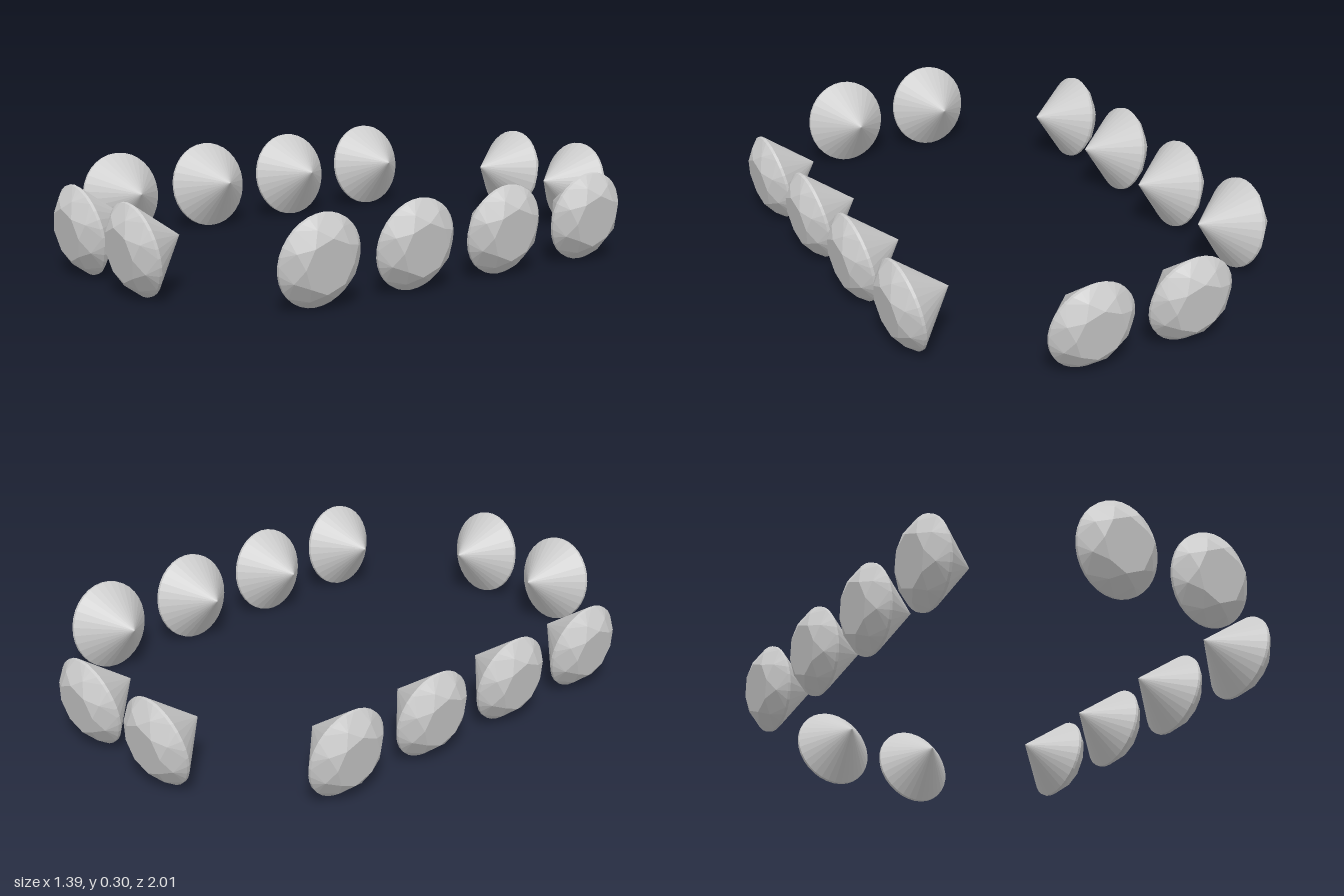
import * as THREE from 'three';

const SIDES = 8, GIRDLE = 32;
const R = 0.149, TABLE_R = 0.088, TABLE_H = 0.059, RIM = 0.005, CULET = 0.159;
const TILT = THREE.MathUtils.degToRad(10);

// Brilliant-cut stone, table facing +z, girdle centred on the origin
function gemGeometry() {
  const pos = [];
  const pt = (r, turn, z) => [r * Math.sin(-turn * 2 * Math.PI), r * Math.cos(turn * 2 * Math.PI), z];
  const tri = (...corners) => corners.forEach((c) => pos.push(...c));
  const quad = (a, b, c, d) => { tri(a, b, c); tri(a, c, d); };

  // star points lie in the planes of the bezel facets
  const u = 0.112;
  const starH = TABLE_H - (u - TABLE_R) / (R - TABLE_R) * (TABLE_H - RIM);
  const table = (i) => pt(TABLE_R, i / SIDES, TABLE_H);
  const star = (i) => pt(u / Math.cos(Math.PI / SIDES), (i + 0.5) / SIDES, starH);
  const upper = (k) => pt(R, k / GIRDLE, RIM);
  const lower = (k) => pt(R, k / GIRDLE, -RIM);
  const step = GIRDLE / SIDES;

  // crown: table, star, bezel and upper girdle facets
  for (let i = 0; i < SIDES; i++) {
    tri([0, 0, TABLE_H], table(i), table(i + 1));
    tri(table(i), star(i), table(i + 1));
    quad(table(i), star(i - 1), upper(i * step), star(i));
    for (let k = i * step; k < (i + 1) * step; k++) tri(star(i), upper(k), upper(k + 1));
  }
  // girdle band and pavilion cone
  for (let k = 0; k < GIRDLE; k++) {
    quad(lower(k), lower(k + 1), upper(k + 1), upper(k));
    tri([0, 0, -CULET], lower(k + 1), lower(k));
  }
  const geo = new THREE.BufferGeometry();
  geo.setAttribute('position', new THREE.Float32BufferAttribute(pos, 3));
  geo.scale(1, 1.03, 1);
  geo.computeVertexNormals();
  return geo;
}

export function createModel() {
  const model = new THREE.Group();
  model.name = 'gemRing';
  const geo = gemGeometry();
  const mat = new THREE.MeshStandardMaterial({ color: 0xcccccc, flatShading: true });

  // each stone faces outward and leans slightly down
  const addGem = (name, x, z, yaw) => {
    const gem = new THREE.Mesh(geo, mat);
    gem.name = name;
    gem.position.set(x, 0.153, z);
    gem.rotation.set(TILT, yaw, 0, 'YXZ');
    model.add(gem);
  };

  // two stones at the front and back
  [-0.178, 0.178].forEach((x, i) => {
    addGem(`frontGem${i + 1}`, x, 0.93, 0);
    addGem(`backGem${i + 1}`, x, -0.93, Math.PI);
  });
  // four stones along each side
  [-0.55, -0.183, 0.183, 0.55].forEach((z, i) => {
    addGem(`leftGem${i + 1}`, 0.622, z, Math.PI / 2);
    addGem(`rightGem${i + 1}`, -0.622, z, -Math.PI / 2);
  });
  return model;
}
